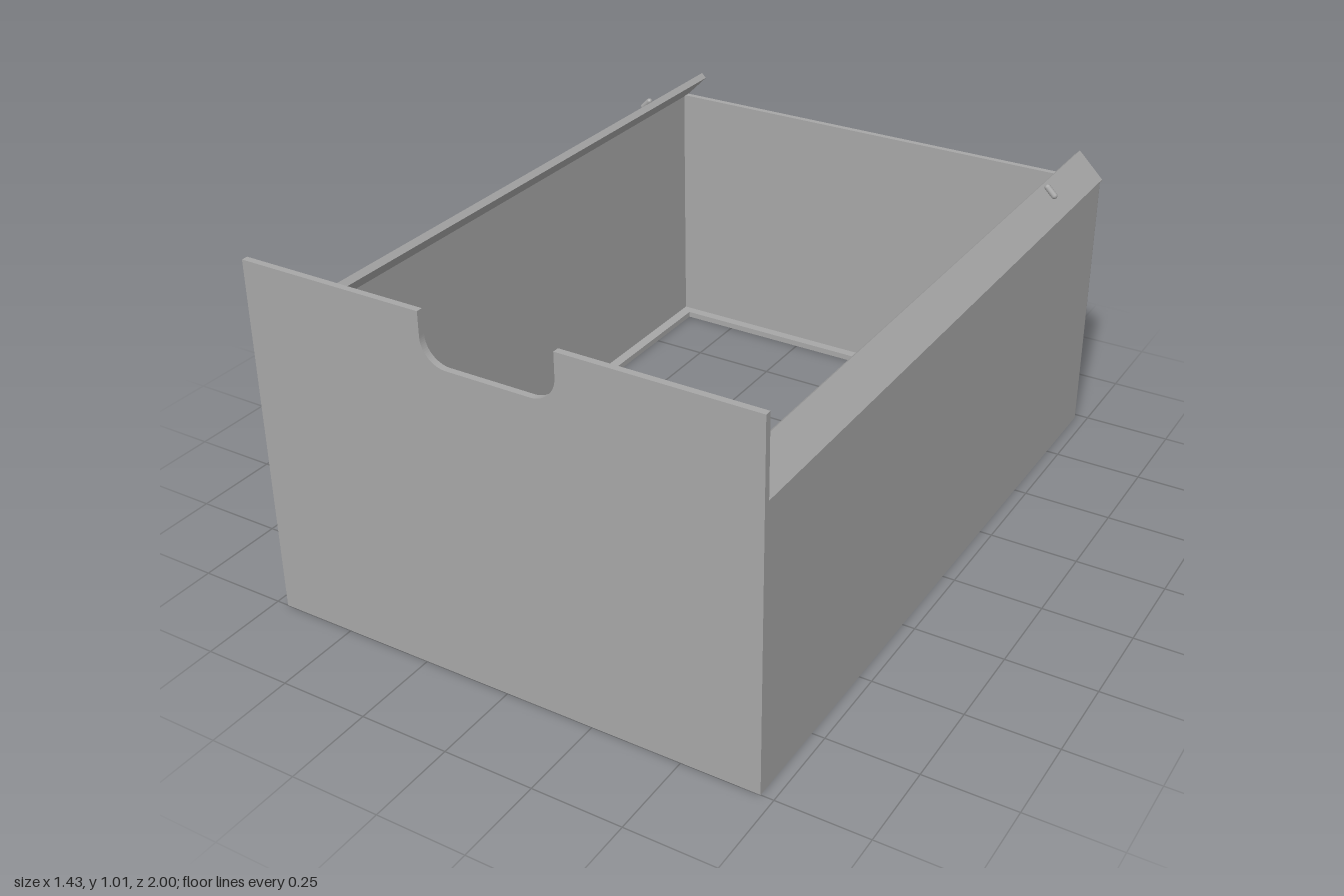
import * as THREE from 'three';

const W = 0.715;  // half width
const D = 1;      // half depth
const T = 0.018;  // sheet thickness
const H = 0.787;  // wall height

const metal = new THREE.MeshStandardMaterial({ color: 0xa6a6a6 });
metal.name = 'sheet grey';

function polygon(points) {
  return new THREE.Shape(points.map(([x, y]) => new THREE.Vector2(x, y)));
}

function extrude(shape, depth) {
  return new THREE.ExtrudeGeometry(shape, { depth, bevelEnabled: false, curveSegments: 10 });
}

function add(group, name, geometry) {
  const mesh = new THREE.Mesh(geometry, metal);
  mesh.name = name;
  group.add(mesh);
  return mesh;
}

export function createModel() {
  const model = new THREE.Group();
  model.name = 'openTray';

  // Side and back walls, one U-shaped sheet with rounded rear corners (shape y is -z)
  const r = 0.02;
  const f = -(D - T);
  const u = new THREE.Shape();
  u.moveTo(-W, f);
  u.lineTo(-W + T, f);
  u.lineTo(-W + T, D - T);
  u.lineTo(W - T, D - T);
  u.lineTo(W - T, f);
  u.lineTo(W, f);
  u.lineTo(W, D - r);
  u.absarc(W - r, D - r, r, 0, Math.PI / 2, false);
  u.lineTo(-W + r, D);
  u.absarc(-W + r, D - r, r, Math.PI / 2, Math.PI, false);
  u.closePath();
  add(model, 'sideAndBackWalls', extrude(u, H).rotateX(-Math.PI / 2));

  // Tall front panel with a rounded finger notch
  const top = 1.01, n = 0.187, low = 0.875, nr = 0.07;
  const front = new THREE.Shape();
  front.moveTo(-W, 0);
  front.lineTo(W, 0);
  front.lineTo(W, top);
  front.lineTo(n, top);
  front.lineTo(n, low + nr);
  front.absarc(n - nr, low + nr, nr, 0, -Math.PI / 2, true);
  front.lineTo(-n + nr, low);
  front.absarc(-n + nr, low + nr, nr, -Math.PI / 2, -Math.PI, true);
  front.lineTo(-n, top);
  front.lineTo(-W, top);
  front.closePath();
  add(model, 'frontPanel', extrude(front, T).translate(0, 0, D - T));

  // Narrow lip around the open bottom
  const ox = W - T, oz = D - T, ix = W - 0.05;
  const lip = polygon([[-ox, -oz], [ox, -oz], [ox, oz], [-ox, oz]]);
  lip.holes.push(polygon([[-ix, -0.943], [-ix, 0.953], [ix, 0.953], [ix, -0.943]]));
  add(model, 'bottomLip', extrude(lip, T).rotateX(-Math.PI / 2));

  // Inward-leaning flaps on the side walls, each with a small stop tab
  for (const [side, s] of [['left', 1], ['right', -1]]) {
    const flap = polygon([
      [W, H], [W, 0.792], [0.64, 0.867], [0.626, 0.853], [W - T, 0.782], [W - T, H],
    ].map(([x, y]) => [s * x, y]));
    add(model, side + 'Flap', extrude(flap, 2 * D - T).translate(0, 0, -D));

    const tab = add(model, side + 'StopTab', new THREE.CapsuleGeometry(0.009, 0.03, 4, 10));
    tab.position.set(s * 0.667, 0.852, -0.71);
    tab.rotation.z = s * Math.PI / 4;
  }
  return model;
}
